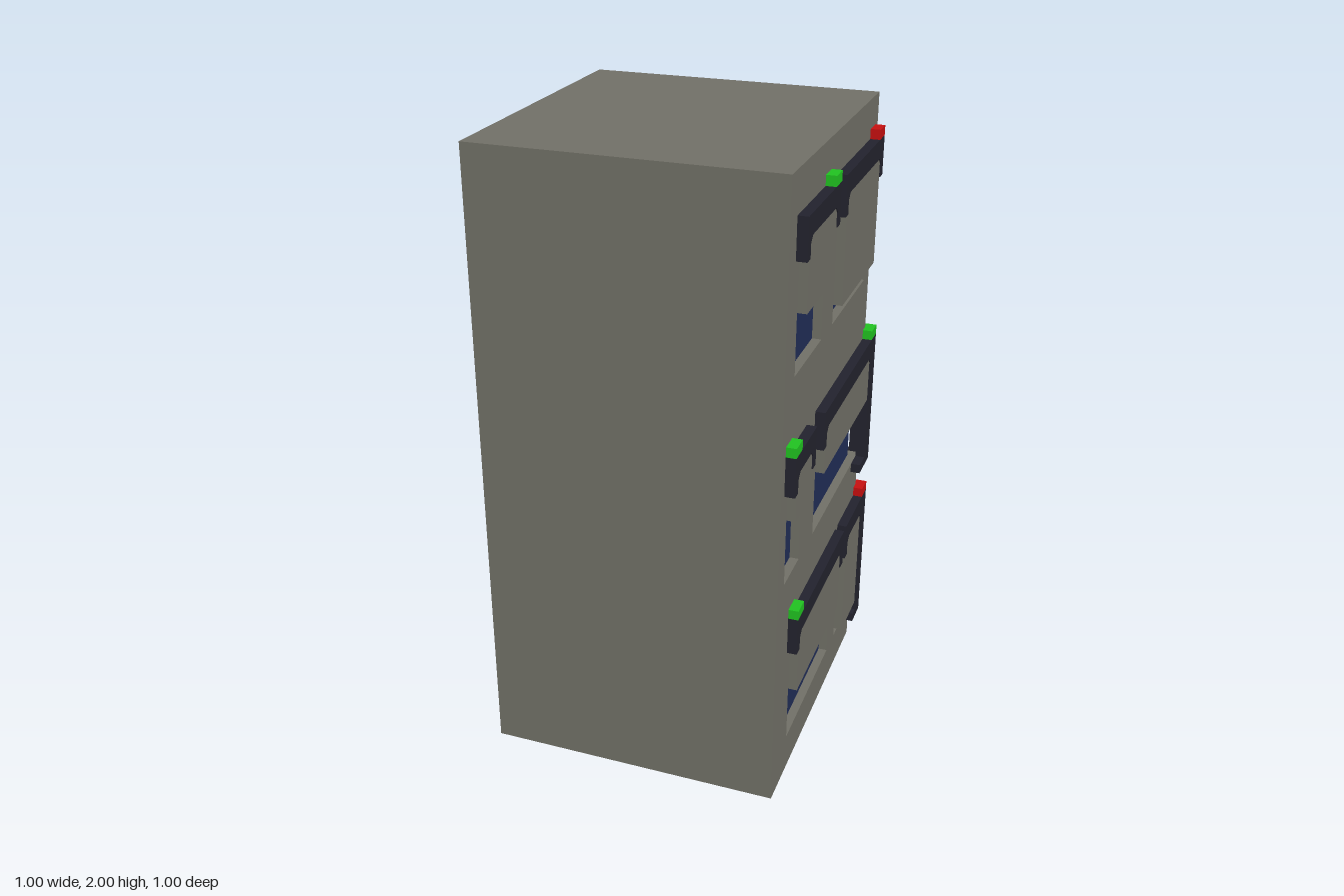
import * as THREE from 'three';

// All sizes are in 1/32 of a unit; the whole group is scaled at the end.
const mat = (name, color) => Object.assign(new THREE.MeshStandardMaterial({ color }), { name });
const M = {
  wall: mat('wall grey', 0x706f66),
  frame: mat('dark frame', 0x22222d),
  glass: mat('blue glass', 0x202c56),
  red: mat('red lamp', 0xc50f0f),
  green: mat('green lamp', 0x20c020),
};

// storeys: sill height, header top, and the lamp on the corner window
const STOREYS = [
  { sill: 45, top: 60, lamp: 'red', lampWidth: 3 },
  { sill: 24, top: 38, lamp: 'green', lampWidth: 2 },
  { sill: 4, top: 19, lamp: 'red', lampWidth: 2, foot: 1 },
];

// windows per storey: [start, end, shutter bottom, lamp start, lamp colour];
// a window that reaches 16 wraps round the building corner
const SIDES = [
  { name: 'leftSide', turn: Math.PI / 2, wall: [-16, 15], rows: [
    [[-14, -3, 51, -5, 'green'], [-1, 14, 47, 12, 'red']],
    [[-15, -8, 31, -15, 'green'], [-5, 16, 31]],
    [[-12, 6, 10, -12, 'green'], [7, 16, 5]]] },
  { name: 'backSide', turn: Math.PI, wall: [-14, 14], rows: [
    [[-15, -6, 49, -8, 'green'], [-5, 5, 48, 3, 'red'], [7, 16, 48]],
    [[-16, -9, 31], [-7, 4, 24, 2, 'red'], [6, 14, 26, 12, 'red']],
    [[-16, -9, 5], [-7, 0, 4, -7, 'red'], [1, 15, 10, 1, 'green']]] },
  { name: 'rightSide', turn: -Math.PI / 2, wall: [-15, 16], rows: [
    [[-16, 2, 48]],
    [[-14, -1, 29, -3, 'green']],
    [[-5, 5, 8, 3, 'green'], [7, 14, 6, 12, 'red']]] },
];

// box from its limits along the wall, upwards and outwards
function block(parent, name, material, x0, x1, y0, y1, z0, z1) {
  if (x1 - x0 < 1e-3 || y1 - y0 < 1e-3) return;
  const mesh = new THREE.Mesh(new THREE.BoxGeometry(x1 - x0, y1 - y0, z1 - z0), material);
  mesh.position.set((x0 + x1) / 2, (y0 + y1) / 2, (z0 + z1) / 2);
  mesh.name = name;
  parent.add(mesh);
}

// header with a leg at each end and small chamfers inside
function header(parent, a, b, top, legA, legB) {
  const c = 0.6, under = top - 2;
  const shape = new THREE.Shape([
    [a, top], [a, legA.y], [a + legA.w, legA.y], [a + legA.w, under - c], [a + legA.w + c, under],
    [b - legB.w - c, under], [b - legB.w, under - c], [b - legB.w, legB.y], [b, legB.y], [b, top],
  ].map(([x, y]) => new THREE.Vector2(x, y)));
  const mesh = new THREE.Mesh(new THREE.ExtrudeGeometry(shape, { depth: 1, bevelEnabled: false }), M.frame);
  mesh.position.z = 15;
  mesh.name = 'windowHeader';
  parent.add(mesh);
}

function addWindow(parent, [a, b, shutter, lampAt, lamp], { sill, top, lamp: cornerLamp, lampWidth, foot = 2 }) {
  const g = new THREE.Group();
  g.name = 'window';
  const cornerA = a === -16, cornerB = b === 16;
  const leg = (corner) => (corner ? { w: 2, y: sill - 1 } : { w: 1, y: top - 4 });
  const left = cornerA ? -14 : a + 1, right = cornerB ? 14 : b - 1;
  block(g, 'glass', M.glass, left, right, sill, top - 1, 14, 14.1);
  block(g, 'shutter', M.wall, left, right, shutter, top - 1, 14.4, 15.9);
  header(g, a, b, top, leg(cornerA), leg(cornerB));
  // foot of the corner post, and the lamp on top
  if (cornerA) block(g, 'postFoot', M.frame, -14, -14 + foot, sill - 1, sill, 15, 16);
  if (cornerB) block(g, 'postFoot', M.frame, 14 - foot, 14, sill - 1, sill, 15, 16);
  if (cornerA) block(g, 'cornerLamp', M[cornerLamp], -16, -16 + lampWidth, top, top + 1, 15, 16);
  else if (cornerB) block(g, 'cornerLamp', M[cornerLamp], 16 - lampWidth, 16, top, top + 1, 15, 16);
  else block(g, 'lamp', M[lamp], lampAt, lampAt + 2, top, top + 1, 15, 16);
  parent.add(g);
}

// outer wall layer: full bands between storeys, piers between openings
function addCladding(parent, [w0, w1], rows) {
  let ceiling = 64;
  rows.forEach((row, i) => {
    const { sill, top } = STOREYS[i];
    block(parent, 'wallBand', M.wall, w0, w1, top - 1, ceiling, 14, 15);
    let at = w0;
    for (const [a, b] of row) {
      block(parent, 'pier', M.wall, at, a + 1, sill, top - 1, 14, 15);
      at = b - 1;
    }
    block(parent, 'pier', M.wall, at, w1, sill, top - 1, 14, 15);
    ceiling = sill;
  });
  block(parent, 'wallBand', M.wall, w0, w1, 0, ceiling, 14, 15);
}

export function createModel() {
  const model = new THREE.Group();
  model.name = 'building';
  block(model, 'core', M.wall, -14, 14, 0, 64, -14, 16);
  for (const { name, turn, wall, rows } of SIDES) {
    const side = new THREE.Group();
    side.name = name;
    side.rotation.y = turn;
    addCladding(side, wall, rows);
    rows.forEach((row, i) => row.forEach((w) => addWindow(side, w, STOREYS[i])));
    model.add(side);
  }
  model.scale.setScalar(1 / 32);
  return model;
}
